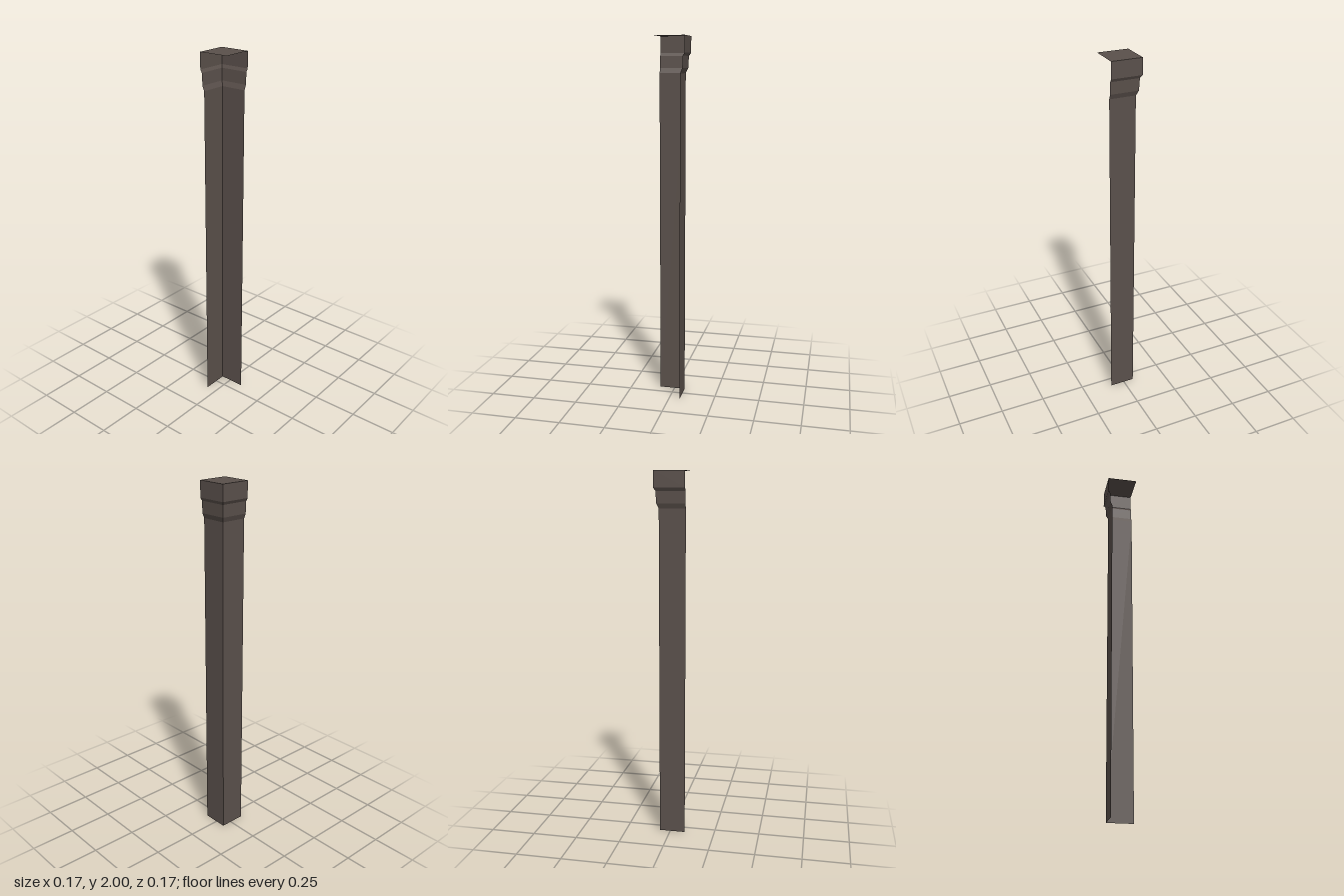
import * as THREE from 'three';

const EDGE = 0.084; // open ends of both walls and the cap's half width

// Two walls meeting at a corner, between two heights with their own corner offsets
function cornerBand(name, [r0, y0], [r1, y1], material) {
  const row = (r, y) => [[-EDGE, y, -r], [r, y, -r], [r, y, EDGE]];
  const low = row(r0, y0), high = row(r1, y1);
  const positions = [];
  for (let i = 0; i < 2; i++) {
    const a = low[i], b = low[i + 1], c = high[i + 1], d = high[i];
    positions.push(...a, ...d, ...c, ...a, ...c, ...b);
  }
  const geometry = new THREE.BufferGeometry();
  geometry.setAttribute('position', new THREE.Float32BufferAttribute(positions, 3));
  geometry.computeVertexNormals();
  const mesh = new THREE.Mesh(geometry, material);
  mesh.name = name;
  return mesh;
}

export function createModel() {
  const group = new THREE.Group();
  group.name = 'cornerPilaster';
  const stone = new THREE.MeshStandardMaterial({ color: 0x5a504b, side: THREE.DoubleSide, flatShading: true });
  stone.name = 'dark brown stone';

  // Corner offset and height, from the foot to the top
  const profile = [[0.06, 0], [0.06, 1.807], [0.071, 1.833], [0.074, 1.897], [0.084, 1.913], [0.084, 2]];
  const names = ['shaft', 'lowerSlope', 'neckBand', 'upperSlope', 'topBand'];
  names.forEach((name, i) => group.add(cornerBand(name, profile[i], profile[i + 1], stone)));

  // Flat square cap
  const cap = new THREE.Mesh(new THREE.PlaneGeometry(EDGE * 2, EDGE * 2).rotateX(-Math.PI / 2), stone);
  cap.name = 'cap';
  cap.position.y = 2;
  group.add(cap);
  return group;
}
